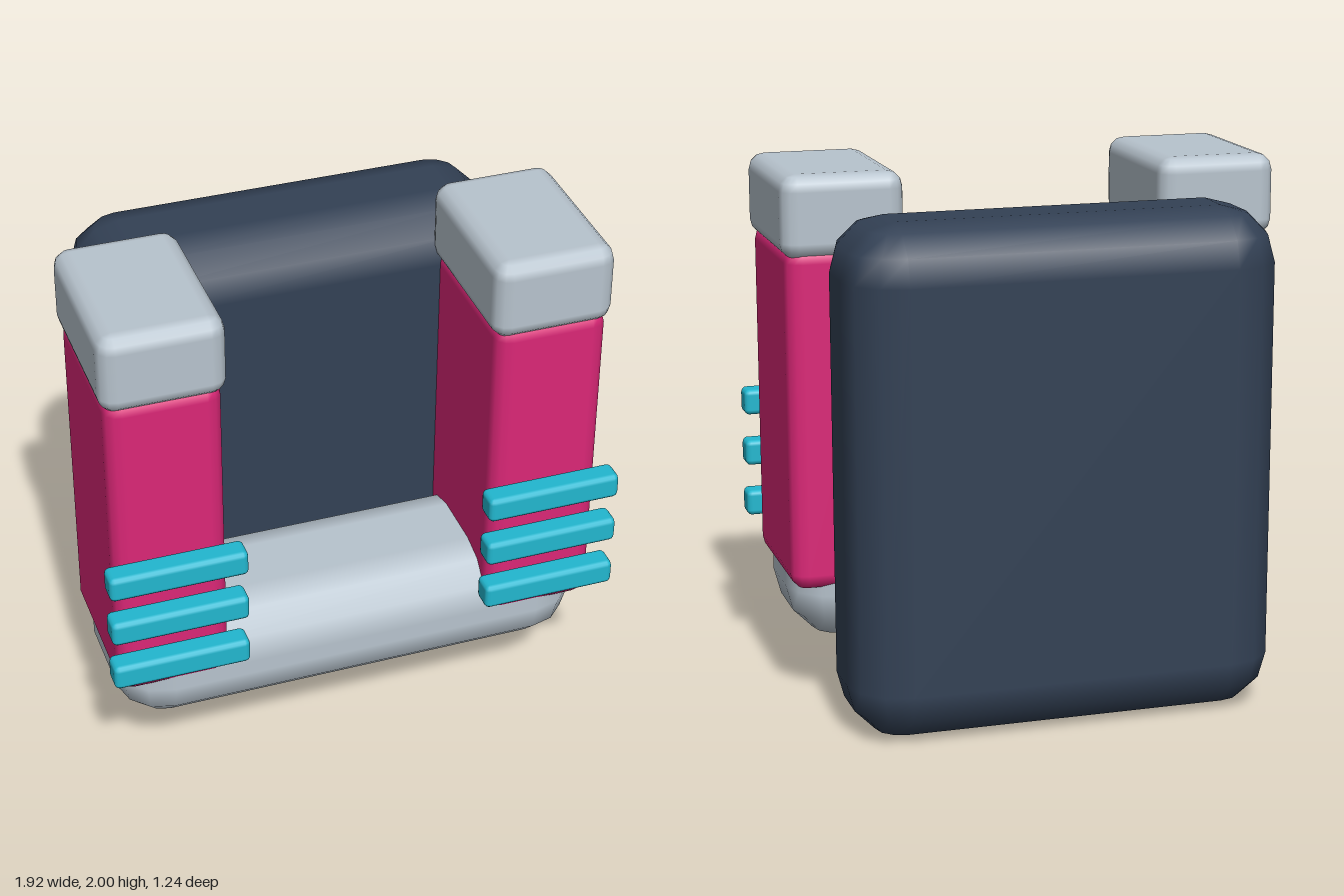
import * as THREE from 'three';

const material = (name, color) => {
  const m = new THREE.MeshStandardMaterial({ color });
  m.name = name;
  return m;
};

// Box with smooth rounded edges of three segments, made by wrapping a grid around it.
// Each quarter turn has four columns; the first and last rows close the flat top and bottom.
function roundedBox(w, h, d, r) {
  const geo = new THREE.PlaneGeometry(1, 1, 16, 9);
  const pos = geo.attributes.position, nor = geo.attributes.normal;
  const core = [w / 2 - r, h / 2 - r, d / 2 - r];
  const step = Math.PI / 6;
  for (let i = 0; i < pos.count; i++) {
    const col = (i % 17) % 16, row = Math.floor(i / 17);
    const quarter = Math.floor(col / 4);
    const around = quarter * Math.PI / 2 + (col % 4) * step;
    if (row === 0 || row === 9) {
      const s = row === 0 ? 1 : -1;
      pos.setXYZ(i, 0, s * h / 2, 0);
      nor.setXYZ(i, 0, s, 0);
      continue;
    }
    const upper = row <= 4;
    const down = (upper ? row - 1 : row - 2) * step;
    const nx = Math.sin(down) * Math.sin(around);
    const ny = Math.cos(down);
    const nz = Math.sin(down) * Math.cos(around);
    const sx = quarter < 2 ? 1 : -1;
    const sz = quarter === 0 || quarter === 3 ? 1 : -1;
    pos.setXYZ(i, sx * core[0] + nx * r, (upper ? 1 : -1) * core[1] + ny * r, sz * core[2] + nz * r);
    nor.setXYZ(i, nx, ny, nz);
  }
  return geo;
}

export function createModel() {
  const model = new THREE.Group();
  model.name = 'model';
  const navy = material('navy', 0x334155);
  const grey = material('pale grey', 0xb8c4ce);
  const pink = material('pink', 0xdb2777);
  const cyan = material('cyan', 0x22b8d0);

  // Place a rounded box by its extents on each axis
  const add = (parent, name, mat, [x0, x1], [y0, y1], [z0, z1], r) => {
    const mesh = new THREE.Mesh(roundedBox(x1 - x0, y1 - y0, z1 - z0, r), mat);
    mesh.name = name;
    mesh.position.set((x0 + x1) / 2, (y0 + y1) / 2, (z0 + z1) / 2);
    parent.add(mesh);
  };

  // Back slab and the bar across the bottom
  add(model, 'backPanel', navy, [-0.8, 0.8], [0, 1.875], [-0.62, -0.055], 0.2);
  add(model, 'baseBar', grey, [-0.91, 0.91], [0.23, 0.685], [-0.108, 0.512], 0.2);

  // Upright columns with caps and three bands on the front
  for (const side of [1, -1]) {
    const column = new THREE.Group();
    column.name = side > 0 ? 'leftColumn' : 'rightColumn';
    const span = (a, b) => (side > 0 ? [a, b] : [-b, -a]);
    add(column, 'post', pink, span(0.5, 0.92), [0.46, 1.74], [-0.11, 0.518], 0.06);
    add(column, 'cap', grey, span(0.483, 0.935), [1.695, 2], [-0.125, 0.53], 0.06);
    for (const y of [0.63, 0.83, 1.03]) {
      add(column, 'band', cyan, span(0.455, 0.962), [y - 0.049, y + 0.049], [0.525, 0.62], 0.02);
    }
    model.add(column);
  }
  return model;
}
